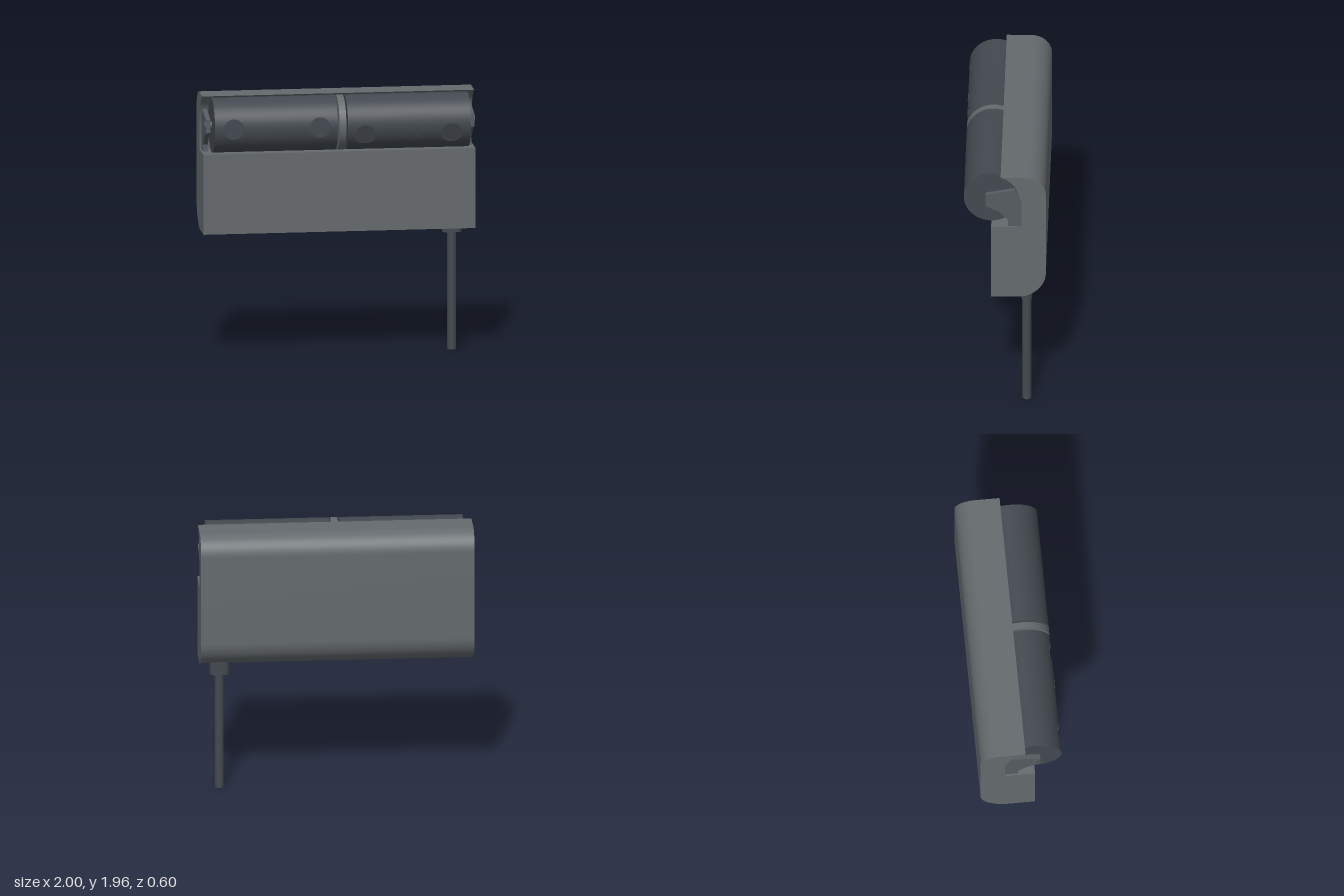
import * as THREE from 'three';
import { toCreasedNormals } from 'three/addons/utils/BufferGeometryUtils.js';
import { ParametricGeometry } from 'three/addons/geometries/ParametricGeometry.js';

const AXIS_Y = 1.757, AXIS_Z = 0.1; // roller axis
const R = 0.2;                      // roller radius
const BAND = 0.085;                 // half height of the front band holding the dents
const DENT = 0.075;                 // dent radius
const lerp = THREE.MathUtils.lerp;

export function createModel() {
  const mat = (name, color) => {
    const m = new THREE.MeshStandardMaterial({ color });
    m.name = name;
    return m;
  };
  const housingGrey = mat('housing grey', 0x646a6d);
  const bracketGrey = mat('bracket grey', 0x565c61);
  const darkSlate = mat('dark slate', 0x434950);

  const model = new THREE.Group();
  model.name = 'twinRollerUnit';

  const add = (parent, name, geometry, material, x = 0, y = 0, z = 0) => {
    const mesh = new THREE.Mesh(geometry, material);
    mesh.name = name;
    mesh.position.set(x, y, z);
    parent.add(mesh);
    return mesh;
  };

  // Extrude a (z, y) side profile along x, centred on x = 0
  const extrudeAlongX = (shape, width) => {
    const g = new THREE.ExtrudeGeometry(shape, { depth: width, bevelEnabled: false, curveSegments: 24 });
    g.rotateY(-Math.PI / 2);
    g.translate(width / 2, 0, 0);
    return toCreasedNormals(g, 0.4);
  };

  // Housing: rounded back, open recess at the top front
  const profile = new THREE.Shape();
  profile.moveTo(0.1, 0.943);
  profile.lineTo(0.1, 1.537);
  profile.lineTo(-0.12, 1.537);
  profile.lineTo(-0.12, 1.76);
  profile.lineTo(-0.085, 1.855);
  profile.absarc(AXIS_Z, AXIS_Y, 0.212, 2.654, 1.903, true);
  profile.lineTo(-0.15, 1.958);
  profile.absarc(-0.15, 1.808, 0.15, Math.PI / 2, Math.PI, false);
  profile.lineTo(-0.3, 1.153);
  profile.absarc(-0.09, 1.153, 0.21, Math.PI, Math.PI * 1.5, false);
  profile.closePath();
  add(model, 'housing', extrudeAlongX(profile, 2), housingGrey);

  // End brackets with axle pins
  const bracket = new THREE.Shape([
    [0.14, 1.802], [0.14, 1.705], [0.04, 1.658], [-0.023, 1.59], [-0.023, 1.537],
    [-0.12, 1.537], [-0.12, 1.757], [-0.075, 1.845],
  ].map(([z, y]) => new THREE.Vector2(z, y)));
  const bracketGeometry = extrudeAlongX(bracket, 0.034);
  const pinGeometry = new THREE.CylinderGeometry(0.028, 0.028, 0.054, 24).rotateZ(Math.PI / 2);
  for (const side of [-1, 1]) {
    const name = side > 0 ? 'left' : 'right';
    add(model, name + 'Bracket', bracketGeometry, bracketGrey, side * 0.97);
    add(model, name + 'AxlePin', pinGeometry, bracketGrey, side * 0.967, AXIS_Y, AXIS_Z);
  }

  // Centre divider: disc on a short stem
  add(model, 'dividerDisc', new THREE.CylinderGeometry(R, R, 0.05, 64).rotateZ(Math.PI / 2),
    housingGrey, 0, AXIS_Y, AXIS_Z);
  add(model, 'dividerStem', new THREE.BoxGeometry(0.05, 0.22, 0.1), housingGrey, 0, 1.647, -0.072);

  // Part of the roller skin between two x positions and two angles
  const skin = (x0, x1, a0, a1, n) => new ParametricGeometry((u, v, p) => {
    const a = lerp(a0, a1, v);
    p.set(lerp(x0, x1, u), R * Math.sin(a), R * Math.cos(a));
  }, 1, n);

  // Square skin patch with a round opening
  const dentFrame = new ParametricGeometry((u, v, p) => {
    const t = -u * Math.PI * 2, c = Math.cos(t), s = Math.sin(t);
    const d = lerp(DENT, BAND / Math.max(Math.abs(c), Math.abs(s)), v);
    p.set(d * c, d * s, Math.sqrt(R * R - d * d * s * s));
  }, 64, 2);

  // Side wall and flat floor of a dent
  const floorZ = Math.sqrt(R * R - DENT * DENT) - 0.002;
  const dentWall = new ParametricGeometry((u, v, p) => {
    const t = -u * Math.PI * 2, y = DENT * Math.sin(t);
    p.set(DENT * Math.cos(t), y, lerp(floorZ, Math.sqrt(R * R - y * y), v));
  }, 64, 1);
  const dentFloor = new THREE.CircleGeometry(DENT, 64);
  const dotGeometry = new THREE.CylinderGeometry(0.013, 0.013, 0.004, 20).rotateX(Math.PI / 2);
  const capGeometry = new THREE.CircleGeometry(R, 64);

  // Roller with two round dents and three small dots between them
  const addRoller = (name, x0, x1, dents, dotsX, tilt) => {
    const roller = new THREE.Group();
    roller.name = name;
    roller.position.set(0, AXIS_Y, AXIS_Z);
    roller.rotation.x = tilt;
    model.add(roller);

    const a = Math.asin(BAND / R);
    add(roller, 'rollerBack', skin(x0, x1, a, Math.PI * 2 - a, 64), darkSlate);
    const edges = [x0, ...dents.flatMap((x) => [x - BAND, x + BAND]), x1];
    for (let i = 0; i < edges.length; i += 2) {
      add(roller, 'rollerFront', skin(edges[i], edges[i + 1], -a, a, 16), darkSlate);
    }
    for (const x of dents) {
      add(roller, 'dentFrame', dentFrame, darkSlate, x);
      add(roller, 'dentWall', dentWall, darkSlate, x);
      add(roller, 'dentFloor', dentFloor, darkSlate, x, 0, floorZ);
    }
    for (const [dx, y] of [[-0.025, 0.026], [0.025, 0.026], [0, -0.018]]) {
      const dot = add(roller, 'dot', dotGeometry, darkSlate, dotsX + dx, y, Math.sqrt(R * R - y * y));
      dot.rotation.x = -Math.asin(y / R);
    }
    add(roller, 'endCap', capGeometry, darkSlate, x1).rotation.y = Math.PI / 2;
    add(roller, 'endCap', capGeometry, darkSlate, x0).rotation.y = -Math.PI / 2;
  };
  addRoller('rightRoller', -0.941, -0.037, [-0.8, -0.167], -0.413, 0);
  addRoller('leftRoller', 0.037, 0.941, [0.165, 0.8], 0.553, 0.34);

  // Cable gland (rounded slot shape) and hanging cable
  const slot = new THREE.Shape();
  slot.absarc(0.032, 0, 0.04, -Math.PI / 2, Math.PI / 2, false);
  slot.absarc(-0.032, 0, 0.04, Math.PI / 2, Math.PI * 1.5, false);
  slot.closePath();
  const gland = new THREE.ExtrudeGeometry(slot, { depth: 0.128, bevelEnabled: false, curveSegments: 16 });
  gland.rotateX(-Math.PI / 2);
  add(model, 'cableGland', toCreasedNormals(gland, 0.5), darkSlate, 0.858, 0.872, -0.157);
  add(model, 'cable', new THREE.CylinderGeometry(0.033, 0.033, 0.9, 32), darkSlate, 0.858, 0.45, -0.157);

  return model;
}
